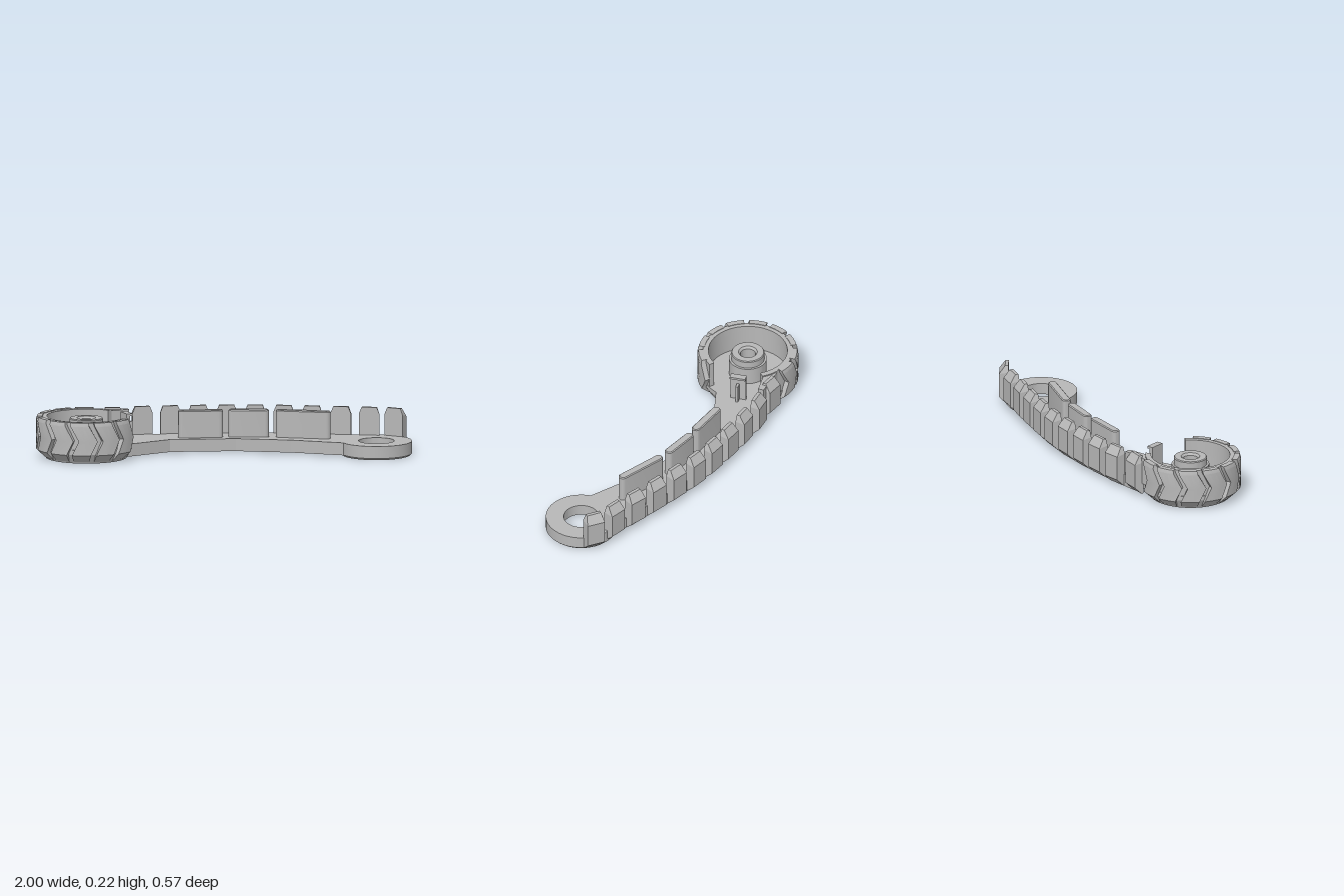
import * as THREE from 'three';
import { toCreasedNormals } from 'three/addons/utils/BufferGeometryUtils.js';
import { ConvexGeometry } from 'three/addons/geometries/ConvexGeometry.js';

const grey = new THREE.MeshStandardMaterial({ color: 0xb8b8b8 });
grey.name = 'plain grey';
const CUP = [-0.735, 0.016], EYE = [0.806, 0.095];
const V = (x, y) => new THREE.Vector2(x, y);

// Piecewise-linear outline edges of the arm, as [x, z]
const BACK = [[-0.56, -0.215], [-0.4, -0.235], [-0.1, -0.243], [0.1, -0.236], [0.3, -0.208], [0.5, -0.163], [0.66, -0.125]];
const FRONT = [[-0.54, 0.09], [-0.28, -0.05], [0.07, -0.043], [0.36, 0.035], [0.66, 0.165]];
function edge(pts, x) {
  let i = 0;
  while (i < pts.length - 2 && x > pts[i + 1][0]) i++;
  const [a, b] = [pts[i], pts[i + 1]];
  return a[1] + (b[1] - a[1]) * (x - a[0]) / (b[0] - a[0]);
}

// Flat slab from a plan outline in x and z, between two heights
function slab(points, y0, y1, holes = []) {
  const plan = (p) => p.map(([x, z]) => V(x, -z));
  const shape = new THREE.Shape(plan(points));
  holes.forEach((h) => shape.holes.push(new THREE.Path(plan(h))));
  const g = new THREE.ExtrudeGeometry(shape, { depth: y1 - y0, bevelEnabled: false });
  return g.rotateX(-Math.PI / 2).translate(0, y0, 0);
}

function lathe(profile, [x, z]) {
  const g = new THREE.LatheGeometry(profile.map(([r, y]) => V(r, y)), 64);
  return toCreasedNormals(g, 0.5).translate(x, 0, z);
}

// Pocket outline following both edges of the arm
function pocket(x0, x1) {
  const top = [], bottom = [];
  for (let i = 0; i <= 8; i++) {
    const x = x0 + (x1 - x0) * i / 8;
    top.push([x, edge(BACK, x) + 0.032]);
    bottom.unshift([x, edge(FRONT, x) - 0.032]);
  }
  return [...top, ...bottom];
}

// Tread block with chamfered top, bottom and sides, facing -z
function blockGeometry() {
  const pts = [];
  for (const [w, y, d] of [[0.055, 0.015, 0], [0.055, 0.19, 0], [0.04, 0.225, 0], [0.04, 0.225, 0.018],
    [0.049, 0.18, 0.05], [0.049, 0.05, 0.05], [0.052, 0.013, 0.012]]) {
    pts.push(new THREE.Vector3(w, y, -d), new THREE.Vector3(-w, y, -d));
  }
  return new ConvexGeometry(pts);
}

// Arrow-shaped tread wrapped on the round cup
function chevronGeometry(angle) {
  const g = new THREE.BoxGeometry(1, 1, 1, 3, 4, 1);
  const p = g.attributes.position;
  const levels = [[0.01, 0.225, 0.02], [0.05, 0.268, 0], [0.125, 0.268, -0.14], [0.205, 0.268, 0.03], [0.225, 0.262, 0.05]];
  for (let i = 0; i < p.count; i++) {
    const [y, r, shift] = levels[Math.round((p.getY(i) + 0.5) * 4)];
    const phi = angle + shift - p.getX(i) * 0.38;
    const rad = p.getZ(i) > 0 ? r : Math.min(r - 0.015, 0.232);
    p.setXYZ(i, CUP[0] + Math.cos(phi) * rad, y, CUP[1] + Math.sin(phi) * rad);
  }
  return toCreasedNormals(g, 0.3);
}

// Upright panel with rounded ends
function panelGeometry(length) {
  const r = 0.023, h = length / 2 - r, s = new THREE.Shape();
  s.absarc(h, 0, r, -Math.PI / 2, Math.PI / 2, false);
  s.absarc(-h, 0, r, Math.PI / 2, Math.PI * 1.5, false);
  const g = new THREE.ExtrudeGeometry(s, { depth: 0.142, bevelThickness: 0.005, bevelSize: 0.005, bevelOffset: -0.005, bevelSegments: 1 });
  return toCreasedNormals(g.rotateX(-Math.PI / 2).translate(0, 0.075, 0), 0.6);
}

export function createModel() {
  const model = new THREE.Group();
  const add = (name, geometry, parent = model) => {
    const m = new THREE.Mesh(geometry, grey);
    m.name = name;
    parent.add(m);
    return m;
  };

  // Arm: top plate over a frame with three hollow pockets
  const outline = [...BACK, ...[...FRONT].reverse()];
  add('armPlate', slab(outline, 0.03, 0.075));
  add('armFrame', slab(outline, 0.008, 0.03, [pocket(-0.47, -0.12), pocket(-0.095, 0.31), pocket(0.335, 0.59)]));

  // Eye ring at the far end, and the ledge behind it
  add('eyeRing', lathe([[0.095, 0.015], [0.12, 0.015], [0.12, 0.025], [0.15, 0.025], [0.15, 0], [0.18, 0],
    [0.19, 0.01], [0.19, 0.075], [0.095, 0.075], [0.095, 0.015]], EYE));
  add('eyeLedge', slab([[0.62, -0.135], [0.75, -0.098], [0.86, -0.09], [0.95, -0.025], [0.92, 0.01],
    [0.84, -0.05], [0.75, -0.05], [0.65, 0.02]], 0.012, 0.075));

  // Cup base with stepped hub and shallow rings underneath
  add('cupBase', lathe([[0.04, 0.14], [0.075, 0.14], [0.09, 0.015], [0.115, 0.015], [0.115, 0.025], [0.185, 0.025],
    [0.185, 0], [0.215, 0], [0.243, 0.05], [0.243, 0.075], [0.1, 0.075], [0.1, 0.17], [0.088, 0.17], [0.088, 0.207],
    [0.084, 0.212], [0.05, 0.212], [0.04, 0.2], [0.04, 0.14]], CUP));

  // Cup wall, open towards the arm
  const wall = [];
  const a0 = 0.46, a1 = 5.4;
  for (const [r, dir] of [[0.24, 1], [0.21, -1]]) {
    for (let i = 0; i <= 40; i++) {
      const t = a0 + (a1 - a0) * (dir > 0 ? i : 40 - i) / 40;
      wall.push([CUP[0] + r * Math.cos(t), CUP[1] + r * Math.sin(t)]);
    }
  }
  add('cupWall', toCreasedNormals(slab(wall, 0.06, 0.222), 0.5));
  add('cupWallEnd', slab([[-0.66, -0.215], [-0.49, -0.235], [-0.485, -0.205], [-0.59, -0.17]], 0.07, 0.215));

  // Chevron treads around the cup
  for (let i = 0; i < 9; i++) add('chevronTread', chevronGeometry(THREE.MathUtils.degToRad(45 + i * 28.2)));

  // Clip standing in the cup opening
  const clip = new THREE.Group();
  clip.name = 'clip';
  clip.position.set(-0.52, 0, -0.06);
  clip.rotation.y = 0.3;
  model.add(clip);
  add('clipPlate', new THREE.BoxGeometry(0.018, 0.14, 0.085).translate(0, 0.145, 0), clip);
  add('clipRib', new THREE.BoxGeometry(0.04, 0.1, 0.014).translate(0.02, 0.125, 0), clip);
  add('clipLip', new THREE.BoxGeometry(0.035, 0.012, 0.085).translate(0.008, 0.216, 0), clip);

  // Tread blocks along the back edge: x, z, turn in degrees
  const block = blockGeometry();
  for (const [x, z, turn] of [[-0.572, -0.208, 3], [-0.41, -0.229, -8], [-0.26, -0.235, -3], [-0.11, -0.235, 1],
    [0.04, -0.23, 3], [0.19, -0.217, 8], [0.34, -0.19, 11], [0.487, -0.157, 13], [0.637, -0.12, 16],
    [0.785, -0.083, 12], [0.912, -0.043, 35]]) {
    const m = add('treadBlock', block);
    m.position.set(x, 0, z);
    m.rotation.y = -THREE.MathUtils.degToRad(turn);
  }

  // Upright panels on the arm: x, z, length, turn in degrees
  for (const [x, z, length, turn] of [[-0.112, -0.112, 0.24, 1], [0.145, -0.104, 0.215, 6], [0.43, -0.042, 0.295, 17]]) {
    const m = add('uprightPanel', panelGeometry(length));
    m.position.set(x, 0, z);
    m.rotation.y = -THREE.MathUtils.degToRad(turn);
  }
  return model;
}
